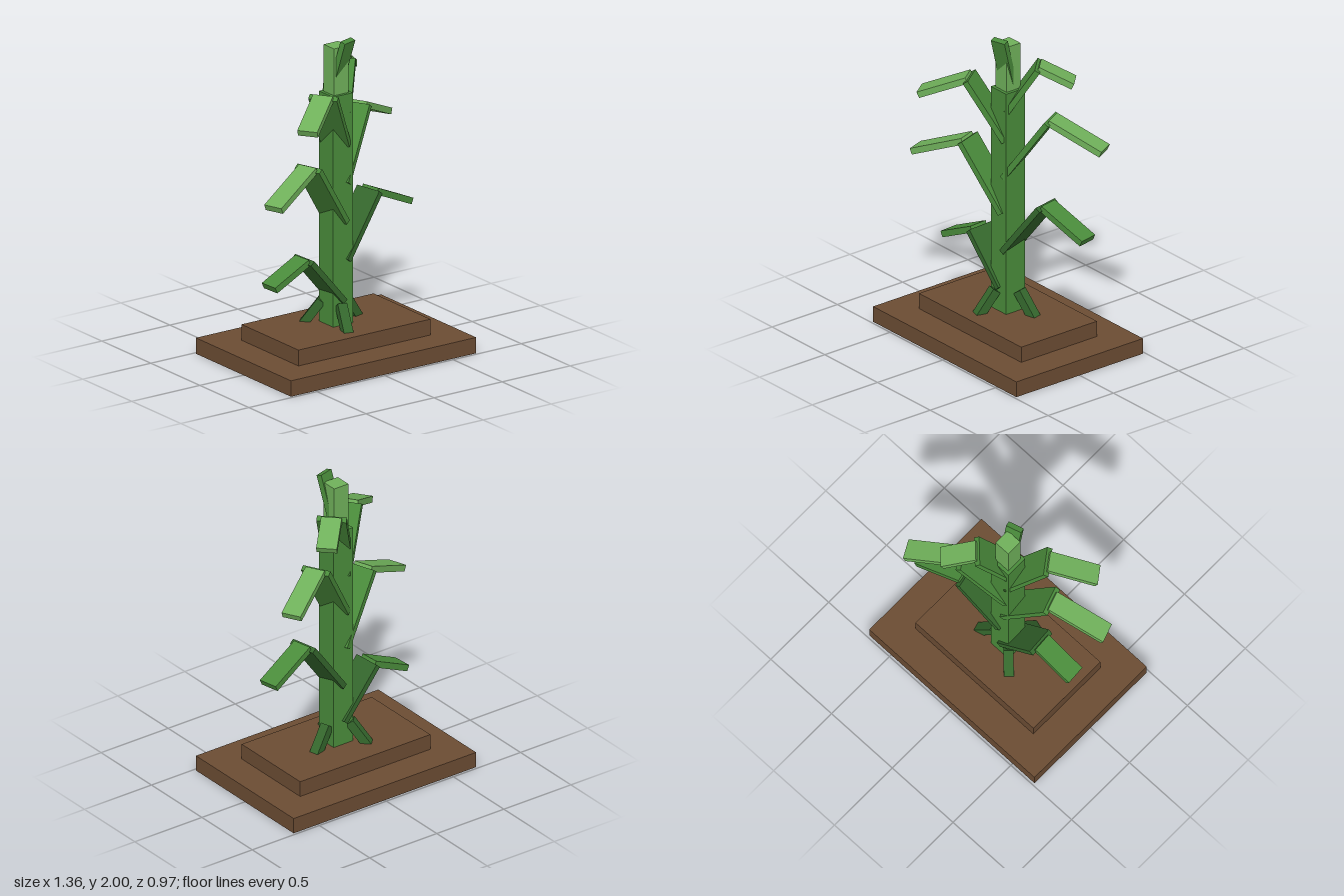
import * as THREE from 'three';

export function createModel() {
  const model = new THREE.Group();
  model.name = 'cropPlant';

  const paint = (name, color) => {
    const m = new THREE.MeshStandardMaterial({ color });
    m.name = name;
    return m;
  };
  const soil = paint('soilBrown', 0x6b4c33);
  const mid = paint('midGreen', 0x4a8c3b);
  const light = paint('lightGreen', 0x6fb05a);
  const dark = paint('darkGreen', 0x35682d);

  // Upright box standing on height y
  const block = (name, w, h, d, y, mat) => {
    const mesh = new THREE.Mesh(new THREE.BoxGeometry(w, h, d), mat);
    mesh.name = name;
    mesh.position.y = y + h / 2;
    model.add(mesh);
  };

  // Slanted bar between two points [radius, height] in a group's radial plane
  const bar = (group, name, [r0, y0], [r1, y1], thick, width, mat) => {
    const length = Math.hypot(r1 - r0, y1 - y0);
    const mesh = new THREE.Mesh(new THREE.BoxGeometry(length, thick, width), mat);
    mesh.name = name;
    mesh.position.set((r0 + r1) / 2, (y0 + y1) / 2, 0);
    mesh.rotation.z = Math.atan2(y1 - y0, r1 - r0);
    group.add(mesh);
  };

  // Group turned about the stalk, in degrees from +x
  const spoke = (name, degrees) => {
    const group = new THREE.Group();
    group.name = name;
    group.rotation.y = THREE.MathUtils.degToRad(degrees);
    model.add(group);
    return group;
  };

  // Stepped soil mound
  block('soilBase', 1.36, 0.1, 0.97, 0, soil);
  block('soilMound', 0.97, 0.1, 0.58, 0.1, soil);

  // Stalk and its thinner top
  block('stalk', 0.145, 1.45, 0.145, 0.2, mid);
  block('upperStalk', 0.105, 0.3, 0.105, 1.645, light);

  // Prop roots
  [15, 135, 255].forEach((angle) => {
    bar(spoke('root', angle), 'rootBar', [0.085, 0.335], [0.205, 0.17], 0.055, 0.06, dark);
  });

  // Leaves: angle, start, bend, tip, lower and outer colour
  const leaves = [
    [184, [0.0, 0.35], [0.255, 0.645], [0.515, 0.525], dark, mid],
    [12, [0.02, 0.6], [0.3, 0.96], [0.61, 0.82], dark, mid],
    [199, [0.0, 0.845], [0.285, 1.245], [0.645, 1.09], mid, light],
    [28, [0.0, 1.085], [0.285, 1.49], [0.625, 1.345], mid, light],
    [216, [0.0, 1.325], [0.24, 1.69], [0.54, 1.56], mid, light],
    [45, [0.0, 1.52], [0.185, 1.8], [0.395, 1.7], mid, light],
  ];
  for (const [angle, start, bend, tip, lower, outer] of leaves) {
    const leaf = spoke('leaf', angle);
    bar(leaf, 'leafStem', start, bend, 0.036, 0.18, lower);
    bar(leaf, 'leafBlade', bend, tip, 0.04, 0.125, outer);
  }

  // Small shoot at the top
  bar(spoke('topShoot', -74), 'shootBar', [0.0, 1.69], [0.09, 1.99], 0.036, 0.1, mid);

  return model;
}
